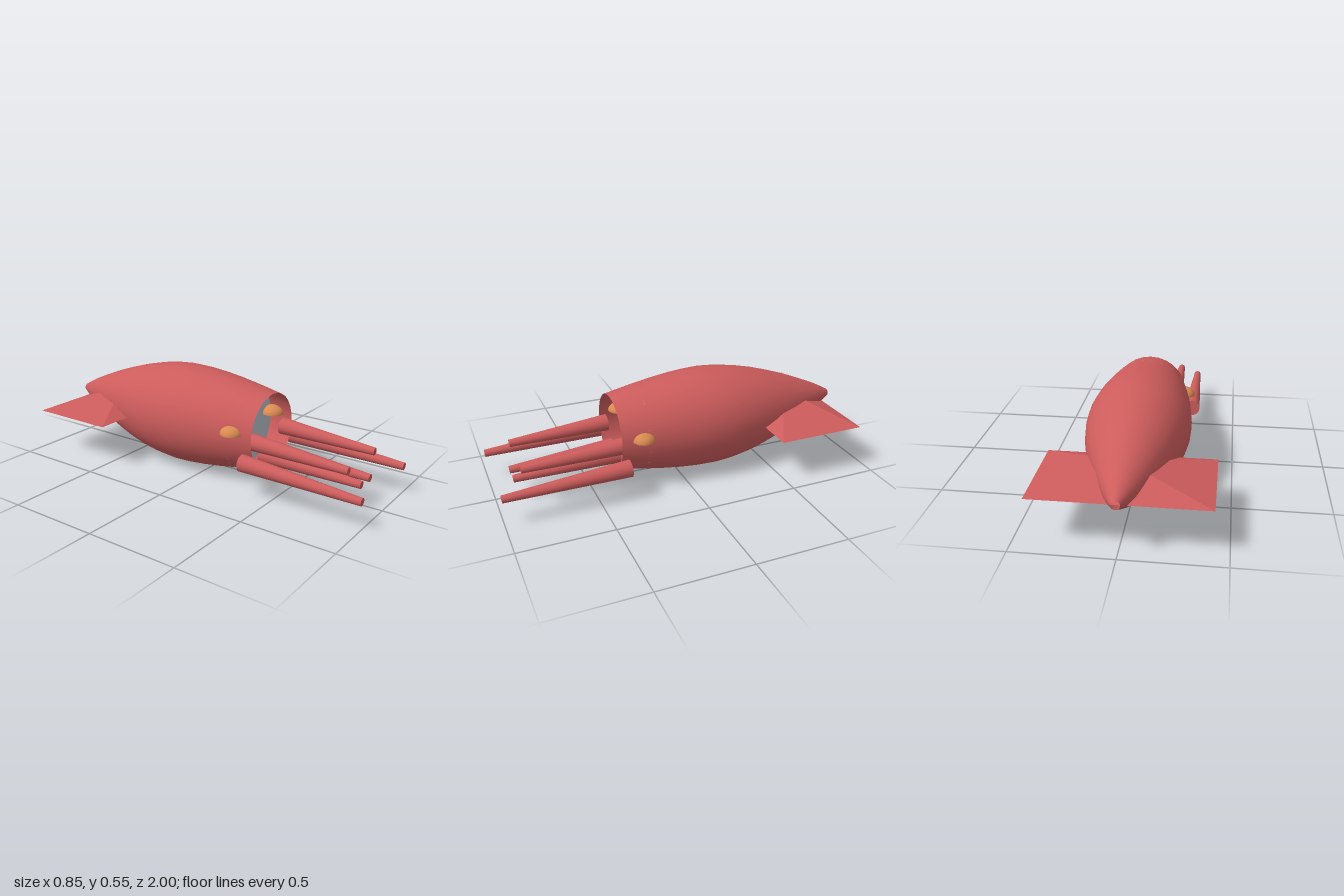
import * as THREE from 'three';

const material = (name, color, side) => {
  const m = new THREE.MeshStandardMaterial({ color, side });
  m.name = name;
  return m;
};

export function createModel() {
  const group = new THREE.Group();
  const red = material('coral red', 0xcd5c5c, THREE.DoubleSide);
  const orange = material('eye orange', 0xd88a50, THREE.DoubleSide);
  const grey = material('mouth grey', 0xb8bdc4, THREE.DoubleSide);
  const axisY = 0.277;

  const add = (name, geometry, mat, x = 0, y = 0, z = 0) => {
    const mesh = new THREE.Mesh(geometry, mat);
    mesh.name = name;
    mesh.position.set(x, y, z);
    group.add(mesh);
    return mesh;
  };

  // Spindle-shaped body, open at the front: [radius, z]
  const profile = [
    [0.022, -1], [0.05, -0.95], [0.076, -0.9], [0.12, -0.8], [0.161, -0.7],
    [0.196, -0.6], [0.227, -0.5], [0.251, -0.4], [0.268, -0.3], [0.276, -0.2],
    [0.273, -0.1], [0.264, 0], [0.251, 0.1], [0.233, 0.21], [0.205, 0.36],
  ].map(([r, z]) => new THREE.Vector2(r, z));
  add('body', new THREE.LatheGeometry(profile, 28).rotateX(Math.PI / 2), red, 0, axisY);

  // Flat wall set back inside the mouth
  add('mouthWall', new THREE.CircleGeometry(0.233, 32), grey, 0, axisY, 0.21);

  // Tail fins: one low four-sided pyramid passing through the body
  const fin = new THREE.ConeGeometry(Math.SQRT2, 0.09, 4)
    .rotateY(Math.PI / 4).scale(0.426, 1, 0.243).toNonIndexed();
  fin.computeVertexNormals();
  add('tailFins', fin, red, 0, 0.293, -0.704);

  // Tapering arms: [x, base y, tip y, tip z]
  const arms = [
    ['innerArm', 0.05, 0.157, 0.133, 0.905],
    ['upperArm', 0.15, 0.258, 0.235, 0.878],
    ['outerArm', 0.25, 0.177, 0.149, 1],
  ];
  const baseZ = 0.335;
  for (const side of [-1, 1]) {
    for (const [name, x, baseY, tipY, tipZ] of arms) {
      const length = Math.hypot(tipZ - baseZ, tipY - baseY);
      const arm = add(name, new THREE.CylinderGeometry(0.02, 0.046, length, 20), red,
        side * x, (baseY + tipY) / 2, (baseZ + tipZ) / 2);
      arm.rotation.x = Math.atan2(tipZ - baseZ, tipY - baseY);
    }

    // Domed eyes, open underneath
    const eye = new THREE.SphereGeometry(1, 24, 10, 0, Math.PI * 2, 0, Math.PI / 2);
    add('eye', eye.scale(0.066, 0.046, 0.062), orange, side * 0.202, 0.3, 0.243);
  }
  return group;
}
